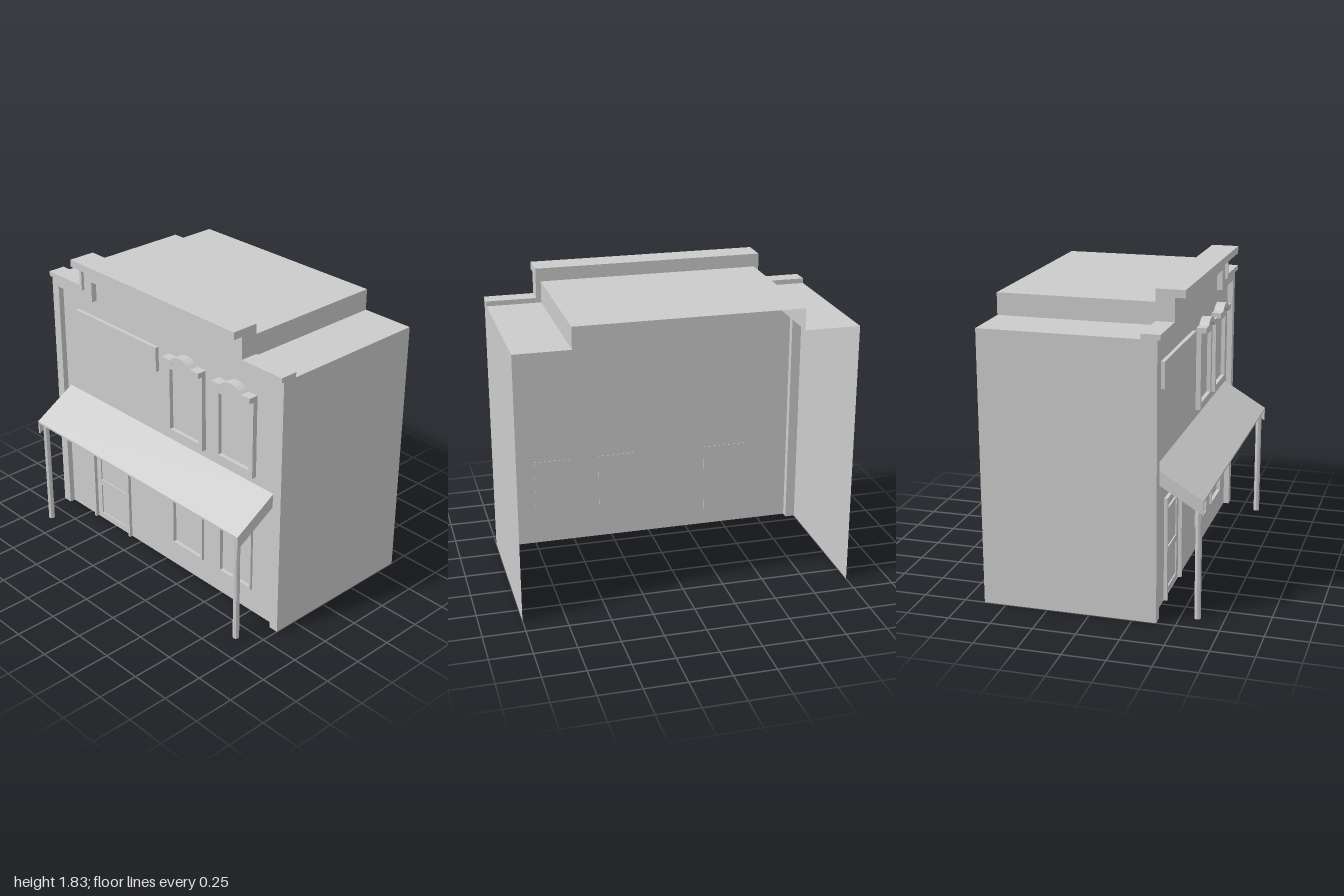
import * as THREE from 'three';

const mat = new THREE.MeshStandardMaterial({ color: 0xcccccc, flatShading: true, side: THREE.DoubleSide });
const WALL = 0.355; // front plane of the recessed wall

const poly = (pts) => new THREE.Shape(pts.map(([x, y]) => new THREE.Vector2(x, y)));
const rect = (x0, x1, y0, y1) => poly([[x0, y0], [x1, y0], [x1, y1], [x0, y1]]);
// Closes a half outline (x > 0, bottom to top) by mirroring it
const mirrored = (half) => [...half, ...half.map(([x, y]) => [-x, y]).reverse()];

export function createModel() {
  const root = new THREE.Group();
  root.name = 'storefront';

  const add = (name, geometry) => {
    const mesh = new THREE.Mesh(geometry, mat);
    mesh.name = name;
    root.add(mesh);
    return mesh;
  };
  // Extrudes a front-facing shape between two depths
  const slab = (name, shape, z0, z1, holes = []) => {
    shape.holes.push(...holes);
    const g = new THREE.ExtrudeGeometry(shape, { depth: z1 - z0, bevelEnabled: false, curveSegments: 8 });
    return add(name, g.translate(0, 0, z0));
  };
  const block = (name, x0, x1, y0, y1, z0, z1) => slab(name, rect(x0, x1, y0, y1), z0, z1);

  // Side walls and stepped roof as a thin open shell
  const section = [[-1, 0], [-1, 1.62], [-0.67, 1.62], [-0.67, 1.75], [0.67, 1.75], [0.67, 1.62], [1, 1.62], [1, 0]];
  const verts = [];
  for (let i = 0; i < section.length - 1; i++) {
    const [ax, ay] = section[i], [bx, by] = section[i + 1];
    const a = [ax, ay, -0.63], b = [bx, by, -0.63], c = [bx, by, 0.3], d = [ax, ay, 0.3];
    verts.push(...a, ...d, ...c, ...a, ...c, ...b);
  }
  const shell = new THREE.BufferGeometry();
  shell.setAttribute('position', new THREE.Float32BufferAttribute(verts, 3));
  shell.computeVertexNormals();
  add('wallsAndRoof', shell);

  // Stepped facade border
  slab('facadeFrame', poly([
    [-1, 0], [-0.94, 0], [-0.94, 1.56], [-0.61, 1.56], [-0.61, 1.69],
    [0.61, 1.69], [0.61, 1.56], [0.94, 1.56], [0.94, 0], [1, 0],
    [1, 1.62], [0.68, 1.62], [0.68, 1.76], [-0.68, 1.76], [-0.68, 1.62], [-1, 1.62],
  ]), 0.3, 0.39);

  // Cornice band following the steps, with a projecting cap
  slab('corniceBand', poly(mirrored([
    [0.68, 1.76], [0.68, 1.62], [1, 1.62], [1, 1.65], [0.7, 1.65], [0.7, 1.785],
  ])), 0.3, 0.408);
  block('corniceCap', -0.7, 0.7, 1.785, 1.83, 0.3, 0.468);

  // Recessed front wall with openings for the door and lower windows
  const lowerWindows = [0.205, 0.62];
  slab('frontWall', poly(mirrored([[0.94, 0], [0.94, 1.56], [0.61, 1.56], [0.61, 1.69]])), WALL - 0.01, WALL, [
    rect(-0.68, -0.35, 0.001, 0.61),
    ...lowerWindows.map((x) => rect(x - 0.123, x + 0.123, 0.17, 0.56)),
  ]);

  // Ground-floor windows
  for (const x of lowerWindows) {
    slab('lowerWindowFrame', rect(x - 0.136, x + 0.136, 0.158, 0.572), WALL - 0.01, WALL + 0.015,
      [rect(x - 0.123, x + 0.123, 0.17, 0.56)]);
    block('lowerWindowPane', x - 0.123, x + 0.123, 0.17, 0.56, WALL - 0.013, WALL - 0.008);
  }

  // Upper windows with arched brows
  const hump = (r, base, rise) => Array.from({ length: 9 }, (_, i) => {
    const t = i / 8;
    return [r * (1 - 2 * t), base + rise * Math.sin(Math.PI * t) ** 0.8];
  });
  for (const x of [0.205, 0.618]) {
    const shift = (pts) => pts.map(([px, py]) => [px + x, py]);
    slab('upperWindowFrame', poly(shift([[-0.153, 0.93], [0.153, 0.93], [0.153, 1.41],
      ...hump(0.085, 1.41, 0.035), [-0.153, 1.41]])), WALL - 0.005, 0.385,
      [rect(x - 0.123, x + 0.123, 0.97, 1.365)]);
    block('upperWindowPane', x - 0.123, x + 0.123, 0.97, 1.365, WALL, WALL + 0.005);
    slab('windowBrow', poly(shift([[0.153, 1.41], [0.153, 1.443], ...hump(0.085, 1.443, 0.037),
      [-0.153, 1.443], [-0.153, 1.41], ...hump(0.085, 1.41, 0.035).reverse()])), WALL, 0.415);
  }

  // Blank sign board
  block('signBoard', -0.79, -0.045, 1.295, 1.45, WALL, 0.378);

  // Door with its surround and panels
  slab('doorFrame', poly([[-0.7, 0], [-0.68, 0], [-0.68, 0.61], [-0.355, 0.61], [-0.355, 0],
    [-0.338, 0], [-0.338, 0.628], [-0.7, 0.628]]), WALL - 0.01, WALL + 0.02);
  slab('door', rect(-0.68, -0.355, 0, 0.61), WALL - 0.01, WALL - 0.002,
    [rect(-0.64, -0.395, 0.29, 0.53), rect(-0.64, -0.395, 0.04, 0.25)]);
  block('doorPanels', -0.66, -0.375, 0.02, 0.55, WALL - 0.013, WALL - 0.01);
  block('doorRail', -0.64, -0.395, 0.533, 0.55, WALL - 0.005, WALL + 0.01);

  // Sloped awning: thin top sheet and deeper side boards, drawn in (z, y)
  const awningPiece = (name, depth, x0, x1) => {
    const shape = poly([[0.345, 0.887], [0.63, 0.715], [0.63, 0.715 - depth], [0.345, 0.887 - depth]]);
    const g = new THREE.ExtrudeGeometry(shape, { depth: x1 - x0, bevelEnabled: false });
    add(name, g.rotateY(-Math.PI / 2).translate(x1, 0, 0));
  };
  awningPiece('awningTop', 0.012, -0.91, 0.91);
  awningPiece('awningRightSide', 0.084, -0.91, -0.898);
  awningPiece('awningLeftSide', 0.084, 0.898, 0.91);

  // Awning posts
  for (const s of [-1, 1]) {
    add(s > 0 ? 'leftPost' : 'rightPost',
      new THREE.CylinderGeometry(0.019, 0.019, 0.715, 8).translate(s * 0.873, 0.3575, 0.597));
  }

  return root;
}
